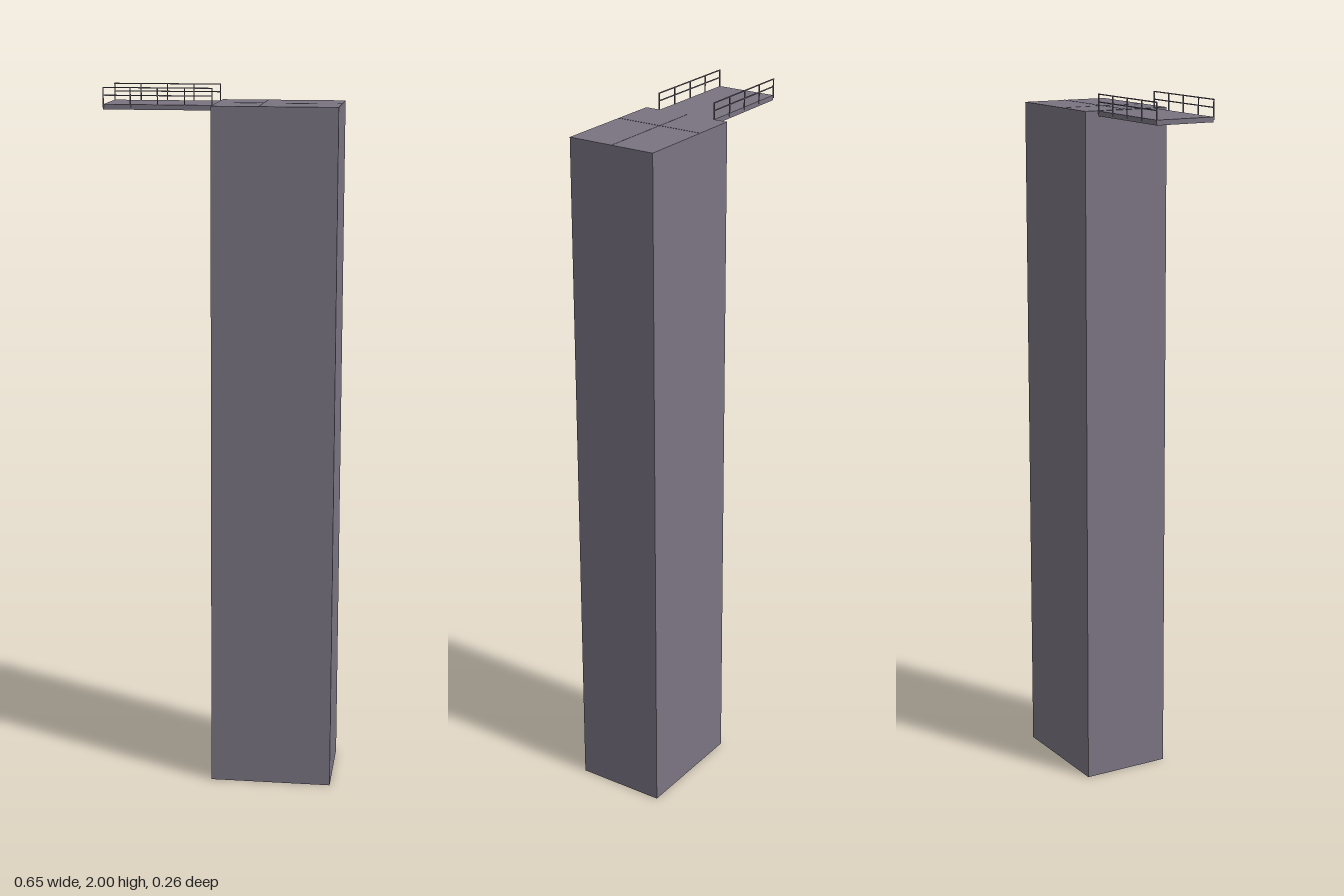
import * as THREE from 'three';

export function createModel() {
  const model = new THREE.Group();
  const concrete = new THREE.MeshStandardMaterial({ color: 0x7a7482 });
  concrete.name = 'grey concrete';

  // Box given by its min and max corners
  const block = (parent, name, [x0, y0, z0], [x1, y1, z1]) => {
    const mesh = new THREE.Mesh(new THREE.BoxGeometry(x1 - x0, y1 - y0, z1 - z0), concrete);
    mesh.position.set((x0 + x1) / 2, (y0 + y1) / 2, (z0 + z1) / 2);
    mesh.name = name;
    parent.add(mesh);
  };

  const left = 0.325, edge = -0.022, right = -0.325;
  const roof = 1.954, halfDepth = 0.13, top = 2;

  // Tower with two thin seams crossing its roof
  block(model, 'tower', [edge, 0, -halfDepth], [left, roof, halfDepth]);
  block(model, 'longRoofSeam', [edge, roof, -0.003], [left, roof + 0.0006, 0]);
  block(model, 'crossRoofSeam', [0.108, roof, -halfDepth], [0.109, roof + 0.0006, halfDepth]);

  // Walkway reaching out from the roof
  block(model, 'walkwayDeck', [right + 0.001, 1.939, -0.088], [edge, roof - 0.001, 0.088]);

  // Railings along both sides of the walkway
  const t = 0.0028, posts = 5;
  for (const side of [-1, 1]) {
    const railing = new THREE.Group();
    railing.name = side > 0 ? 'frontRailing' : 'backRailing';
    const z0 = side * 0.0885 - t / 2, z1 = z0 + t;
    for (let i = 0; i < posts; i++) {
      const x = right + (edge - right - t) * i / (posts - 1);
      block(railing, 'post', [x, 1.945, z0], [x + t, top, z1]);
    }
    for (const y of [top, 1.979]) {
      block(railing, 'rail', [right, y - t, z0], [edge, y, z1]);
    }
    model.add(railing);
  }
  return model;
}
